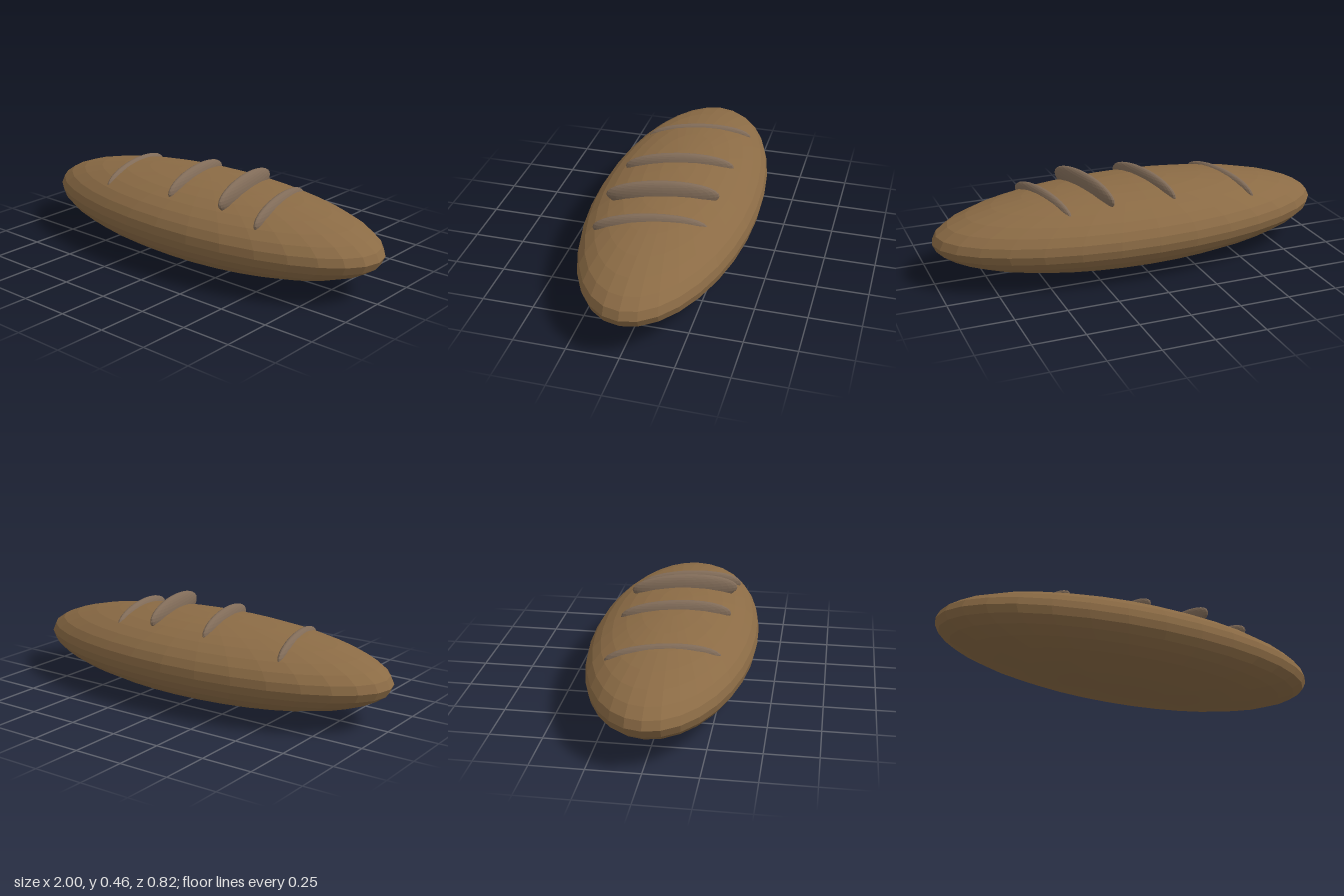
import * as THREE from 'three';

const crust = new THREE.MeshStandardMaterial({ color: 0x8b6b45, flatShading: true });
const ridge = new THREE.MeshStandardMaterial({ color: 0x806b58, flatShading: true });

// Ellipsoid with the given half-sizes
function ellipsoid(name, material, rx, ry, rz) {
  const mesh = new THREE.Mesh(new THREE.SphereGeometry(1, 32, 16).scale(rx, ry, rz), material);
  mesh.name = name;
  return mesh;
}

export function createModel() {
  const bread = new THREE.Group();
  bread.name = 'breadLoaf';

  // Long flattened loaf
  const loaf = ellipsoid('loaf', crust, 1, 0.203, 0.408);
  loaf.position.y = 0.205;
  bread.add(loaf);

  // Slanted score ridges across the top: [x, centre height]
  const ridges = [[-0.5, 0.316], [-0.08, 0.366], [0.235, 0.386], [0.446, 0.331]];
  ridges.forEach(([x, y], i) => {
    const score = ellipsoid(`scoreRidge${i + 1}`, ridge, 0.035, 0.077, 0.27);
    score.position.set(x, y, 0.014);
    score.rotation.y = 0.22;
    bread.add(score);
  });

  return bread;
}
